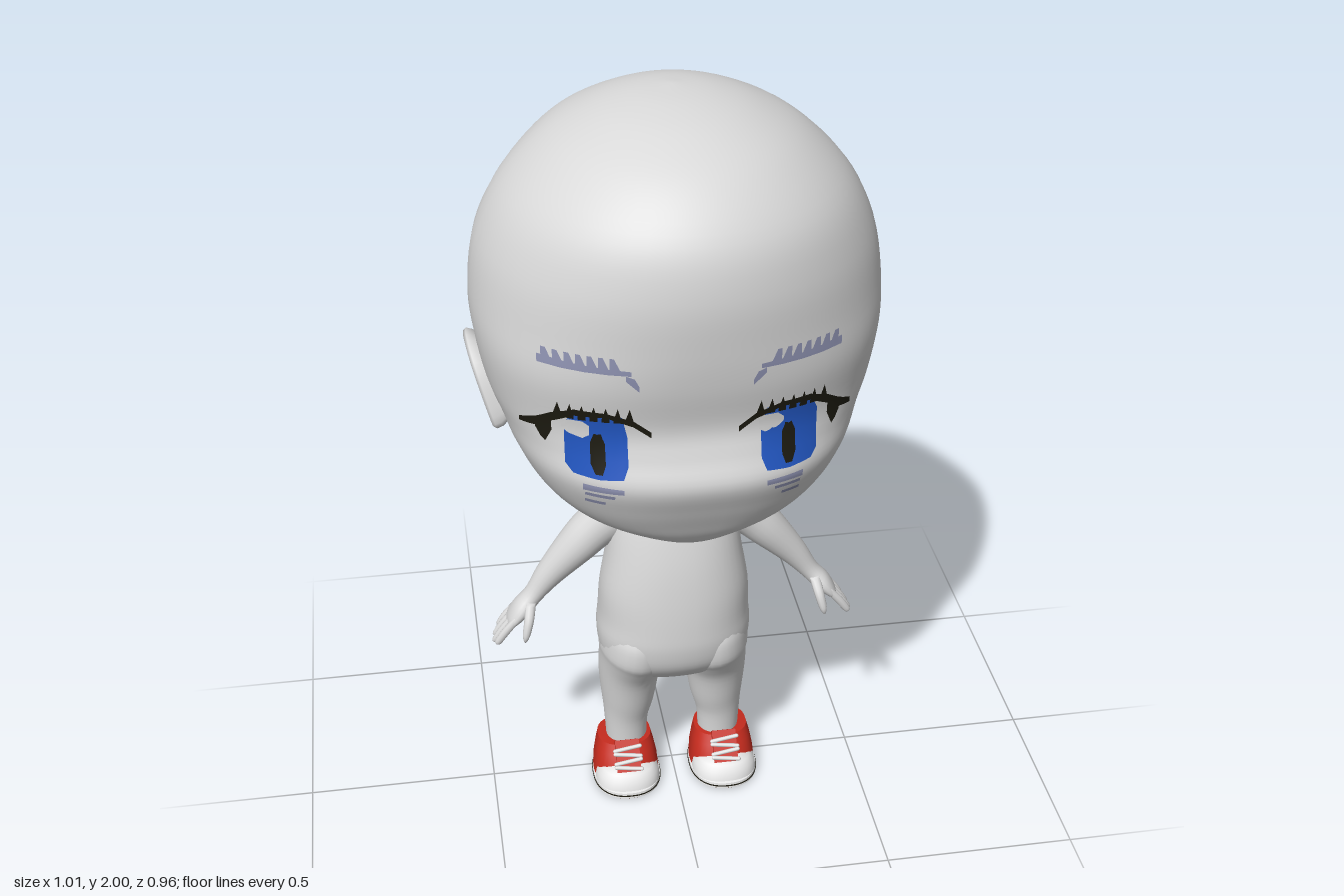
import * as THREE from 'three';
import { toCreasedNormals } from 'three/addons/utils/BufferGeometryUtils.js';

const paint = (name, color) => Object.assign(new THREE.MeshStandardMaterial({ color }), { name });

// Uniform Catmull-Rom through rows of numbers, n steps per segment
function spline(rows, n) {
  const out = [], at = i => rows[Math.min(rows.length - 1, Math.max(0, i))];
  for (let i = 0; i < rows.length - 1; i++) {
    for (let k = 0; k < n; k++) {
      const t = k / n, [a, b, c, d] = [at(i - 1), at(i), at(i + 1), at(i + 2)];
      out.push(b.map((v, j) => v + 0.5 * t * (c[j] - a[j]
        + t * (2 * a[j] - 5 * v + 4 * c[j] - d[j] + t * (3 * (v - c[j]) + d[j] - a[j])))));
    }
  }
  out.push(rows[rows.length - 1]);
  return out;
}

// Closed skin over rings of points, capped at both ends, always facing outwards
function loft(rings, crease) {
  const n = rings[0].length, pos = rings.flat(2), idx = [];
  const mid = r => [0, 1, 2].map(j => r.reduce((s, p) => s + p[j], 0) / n);
  pos.push(...mid(rings[0]), ...mid(rings[rings.length - 1]));
  const first = rings.length * n, last = (rings.length - 1) * n;
  for (let k = 0; k < n; k++) {
    const m = (k + 1) % n;
    for (let i = 0; i < rings.length - 1; i++) {
      const a = i * n + k, b = i * n + m;
      idx.push(a, b, a + n, b, b + n, a + n);
    }
    idx.push(first, m, k, first + 1, last + k, last + m);
  }
  let volume = 0;
  const v = i => new THREE.Vector3().fromArray(pos, i * 3);
  for (let i = 0; i < idx.length; i += 3) volume += v(idx[i]).dot(v(idx[i + 1]).cross(v(idx[i + 2])));
  if (volume < 0) idx.reverse();
  const g = new THREE.BufferGeometry();
  g.setAttribute('position', new THREE.Float32BufferAttribute(pos, 3));
  g.setIndex(idx);
  g.computeVertexNormals();
  return crease ? toCreasedNormals(g, crease) : g;
}

// Horizontal outline: y, half width, front z, back z, widest z, front and back roundness, pinch behind the widest point
function section([y, w, zF, zB, zc, pF, pB, pinch = 0], n) {
  return Array.from({ length: n }, (_, k) => {
    const a = k / n * Math.PI * 2, c = Math.cos(a), s = Math.sin(a), p = s >= 0 ? pF : pB;
    const e = q => Math.pow(Math.abs(q), 2 / p);
    const slim = s < 0 ? 1 - pinch * Math.sin(Math.PI * e(s)) ** 2 : 1;
    return [w * slim * Math.sign(c) * e(c), y, zc + (s >= 0 ? zF - zc : zB - zc) * e(s)];
  });
}

// Limb along rows of x, y, z, radius in the xy plane, radius along z
function limb(rows, side, n = 20, steps = 4) {
  const path = spline(rows, steps);
  return loft(path.map(([x, y, z, r, rz], i) => {
    const a = path[Math.max(0, i - 1)], b = path[Math.min(path.length - 1, i + 1)];
    const dx = b[0] - a[0], dy = b[1] - a[1], l = Math.hypot(dx, dy);
    return Array.from({ length: n }, (_, k) => {
      const t = k / n * Math.PI * 2, c = Math.cos(t) * r;
      return [side * (x - dy / l * c), y + dx / l * c, z + Math.sin(t) * rz];
    });
  }));
}

const headRows = spline([
  [.962, .02, .27, .17, .22, 2.2, 2, 0], [.966, .08, .335, .06, .2, 2.3, 2, 0], [.985, .145, .367, -.02, .17, 2.5, 2, 0],
  [1.02, .235, .395, -.06, .15, 2.6, 2, 0], [1.06, .305, .417, -.09, .13, 2.6, 2, 0], [1.12, .365, .447, -.15, .11, 2.5, 2.1, 0],
  [1.2, .41, .478, -.3, .09, 2.4, 2.2, 0], [1.27, .437, .455, -.385, .07, 2.4, 2.3, .03], [1.34, .463, .44, -.425, .06, 2.4, 2.25, .06],
  [1.45, .485, .462, -.465, .05, 2.3, 2.2, .1], [1.55, .49, .475, -.48, .04, 2.1, 2.15, .12], [1.68, .47, .48, -.455, .03, 2, 2.1, .1],
  [1.8, .41, .45, -.39, .03, 2, 2.05, .06], [1.9, .31, .36, -.285, .02, 2, 2, .02], [1.96, .2, .24, -.18, .02, 2, 2, 0],
  [1.99, .1, .12, -.09, .01, 2, 2, 0], [2, .01, .01, -.01, 0, 2, 2, 0],
], 5);

// Depth of the face at x, y
function faceZ(x, y) {
  const i = headRows.findIndex(r => r[0] > y), a = headRows[i - 1], b = headRows[i];
  const t = (y - a[0]) / (b[0] - a[0]);
  const [, w, zF, , zc, p] = a.map((v, j) => v + (b[j] - v) * t);
  return zc + (zF - zc) * Math.pow(1 - Math.pow(Math.abs(x) / w, p), 1 / p);
}

// Painted patch hugging the face, from columns of x, low y, high y
function patch(cols, side, lift) {
  const pts = [], idx = [], S = 4, fine = [];
  cols.forEach((c, i) => {
    if (i) for (let k = 1; k <= S; k++) fine.push(c.map((v, j) => cols[i - 1][j] + (v - cols[i - 1][j]) * k / S));
    else fine.push(c);
  });
  fine.forEach(([cx, lo, hi], i) => {
    for (let k = 0; k <= S; k++) {
      const x = side * cx - .015, y = lo + (hi - lo) * k / S;
      pts.push(x, y, faceZ(x, y) + lift);
      const a = (i - 1) * (S + 1) + k, b = a + S + 1;
      if (i && k < S) idx.push(a, b, a + 1, b, b + 1, a + 1);
    }
  });
  if (side < 0) idx.reverse();
  const g = new THREE.BufferGeometry();
  g.setAttribute('position', new THREE.Float32BufferAttribute(pts, 3));
  g.setIndex(idx);
  g.computeVertexNormals();
  return g;
}

export function createModel() {
  const model = new THREE.Group();
  const skin = paint('skin grey', 0xd9d9d9), blue = paint('iris blue', 0x2256c0), black = paint('lash black', 0x1c1a10);
  const brow = paint('brow lavender', 0x8f93b2), red = paint('shoe red', 0xc42b1e), white = paint('shoe white', 0xe8e8e8);
  const brown = paint('sole brown', 0x6a4224);
  const add = (name, geo, mat, parent = model) => {
    const m = new THREE.Mesh(geo, mat);
    m.name = name;
    parent.add(m);
    return m;
  };

  add('head', loft(headRows.map(r => section(r, 64))), skin);

  // Torso and neck
  const torso = [
    [.35, .05, .04, -.03, .01], [.36, .13, .09, -.07, .01], [.39, .175, .13, -.09, .02], [.44, .197, .168, -.118, .02],
    [.5, .205, .182, -.135, .02], [.56, .2, .182, -.125, .02], [.65, .195, .175, -.09, .03], [.75, .178, .16, -.092, .03],
    [.85, .165, .135, -.105, .02], [.905, .145, .112, -.09, .015], [.935, .105, .096, -.072, .015],
    [.952, .066, .088, -.06, .015], [1, .058, .085, -.058, .015], [1.06, .06, .085, -.075, .01],
  ];
  add('torso', loft(spline(torso, 4).map(r => section([...r, 2.2, 2.2], 40))), skin);

  // Ear outline in z, y, shared by both sides
  const earLine = new THREE.CatmullRomCurve3([[.055, 1.155], [.05, 1.23], [.01, 1.32], [-.06, 1.36], [-.125, 1.34],
    [-.115, 1.27], [-.075, 1.19], [-.02, 1.148]].map(([z, y]) => new THREE.Vector3(0, y, z)), true).getPoints(32).slice(0, 32);

  for (const s of [1, -1]) {
    const side = s > 0 ? 'left' : 'right';

    // Dished ear, its root reaching forward into the head
    const ear = [[.4, -.09, .04], [.7, -.055, .02], [.96, -.024, 0], [1, -.008, 0], [.95, 0, 0], [.8, -.004, 0], [.5, -.016, 0], [.15, -.018, 0]];
    add(side + 'Ear', loft(ear.map(([k, dx, dz]) => earLine.map(p => {
      const y = 1.25 + (p.y - 1.25) * k, z = -.035 + (p.z + .035) * k;
      return [s * (.475 + (y - 1.25) * .28 + dx), y, z + dz];
    }))), skin);

    // Arm and palm
    add(side + 'Arm', limb([[.06, .885, .015, .05, .06], [.14, .862, .015, .066, .063], [.2, .817, .015, .06, .057],
      [.25, .765, .015, .053, .053], [.32, .685, .015, .038, .038], [.367, .622, .017, .026, .03],
      [.4, .585, .022, .025, .04], [.425, .555, .02, .017, .043], [.436, .541, .02, .008, .034]], s), skin);

    // Fingers and thumb
    [.053, .031, .009, -.013].forEach((z, i) => {
      const l = [.95, 1.05, 1, .8][i];
      add(side + 'Finger', limb([[.415, .57, z, .01, .009], [.415 + .035 * l, .57 - .042 * l, z, .011, .01],
        [.415 + .057 * l, .57 - .074 * l, z, .009, .008], [.415 + .06 * l, .57 - .08 * l, z, .002, .002]], s, 10), skin);
    });
    add(side + 'Thumb', limb([[.378, .612, .04, .014, .014], [.386, .575, .07, .013, .013], [.396, .535, .083, .01, .01],
      [.4, .515, .085, .003, .003]], s, 10), skin);

    // Leg, its top swelling to meet the belly and seat
    add(side + 'Leg', limb([[.1, .54, .022, .08, .13], [.1, .5, .022, .094, .145], [.104, .44, .024, .097, .139],
      [.11, .4, .018, .09, .12], [.118, .34, .006, .083, .098], [.122, .25, .004, .072, .077],
      [.128, .18, .006, .06, .058], [.128, .1, .007, .055, .052]], s, 28), skin);

    // Shoe
    const shoe = new THREE.Group();
    shoe.name = side + 'Shoe';
    shoe.position.x = s * .135;
    model.add(shoe);
    const layer = (name, mat, rows, crease = .7) => add(name, loft(rows.map(r => section([...r, 2.3, 2.6], 36)), crease), mat, shoe);
    layer('outsole', brown, [[0, .09, .158, -.06, .05], [.003, .092, .16, -.062, .05]]);
    layer('midsole', white, [[.003, .093, .161, -.062, .05], [.018, .092, .159, -.061, .05], [.021, .088, .15, -.058, .05]]);
    layer('soleStripe', black, [[.009, .094, .162, -.063, .05], [.0115, .094, .162, -.063, .05]]);
    layer('upper', red, [[.019, .09, .122, -.06, .04], [.055, .087, .112, -.06, .03], [.09, .08, .086, -.059, .02],
      [.116, .073, .069, -.058, .01], [.117, .064, .062, -.052, .01]]);
    layer('toeCap', white, [[.019, .0885, .153, .035, .07], [.045, .084, .146, .04, .07], [.058, .07, .132, .045, .075],
      [.067, .048, .112, .05, .08], [.07, .015, .09, .065, .08]], 1.2);
    const front = new THREE.Group();
    front.name = 'lacing';
    front.position.set(0, .094, .09);
    front.rotation.x = -.68;
    shoe.add(front);
    add('tongue', new THREE.BoxGeometry(.066, .088, .012), red, front);
    for (let i = 0; i < 4; i++) {
      const lace = add('lace', new THREE.CapsuleGeometry(.0055, .07, 4, 8), white, front);
      lace.position.set(0, -.034 + i * .018, .006);
      lace.rotation.z = Math.PI / 2 + (i % 2 ? .13 : -.13);
    }

    // Eye with pupil, highlight and lashes
    const draw = (name, mat, cols, lift) => add(side + name, patch(cols, s, lift), mat);
    draw('Iris', blue, [[.153, 1.26, 1.33], [.165, 1.23, 1.385], [.22, 1.225, 1.392], [.275, 1.23, 1.385], [.291, 1.25, 1.35]], .003);
    draw('Pupil', black, [[.203, 1.26, 1.31], [.211, 1.237, 1.335], [.227, 1.237, 1.335], [.236, 1.26, 1.31]], .0042);
    const h = s > 0 ? .147 : .237;
    draw('Highlight', skin, [[h, 1.33, 1.355], [h + .015, 1.32, 1.366], [h + .045, 1.328, 1.366], [h + .06, 1.34, 1.352]], .0045);
    draw('UpperLash', black, [[.1, 1.33, 1.345], [.14, 1.36, 1.377], [.2, 1.383, 1.396], [.27, 1.38, 1.398],
      [.32, 1.35, 1.375], [.35, 1.325, 1.352], [.385, 1.316, 1.33]], .0052);
    for (let x = .14; x < .3; x += .026) {
      draw('LashTip', black, [[x, 1.37, 1.378], [x + .009, 1.37, 1.412], [x + .018, 1.37, 1.378]], .0056);
    }
    draw('OuterLash', black, [[.318, 1.325, 1.36], [.332, 1.29, 1.35], [.342, 1.3, 1.34], [.352, 1.32, 1.335]], .0056);
    draw('LowerLash', brow, [[.165, 1.192, 1.206], [.255, 1.19, 1.208]], .003);
    draw('LowerLash', brow, [[.185, 1.174, 1.184], [.25, 1.174, 1.184]], .003);
    draw('LowerLash', brow, [[.205, 1.15, 1.16], [.25, 1.15, 1.16]], .003);

    // Feathered eyebrow
    draw('Brow', brow, [[.145, 1.502, 1.514], [.345, 1.504, 1.524]], .003);
    for (let x = .17; x < .325; x += .024) {
      draw('BrowHair', brow, [[x, 1.51, 1.516], [x + .012, 1.51, 1.544], [x + .022, 1.51, 1.544]], .003);
    }
    draw('BrowTick', brow, [[.128, 1.46, 1.475], [.138, 1.47, 1.495], [.157, 1.488, 1.502]], .003);
  }
  return model;
}
